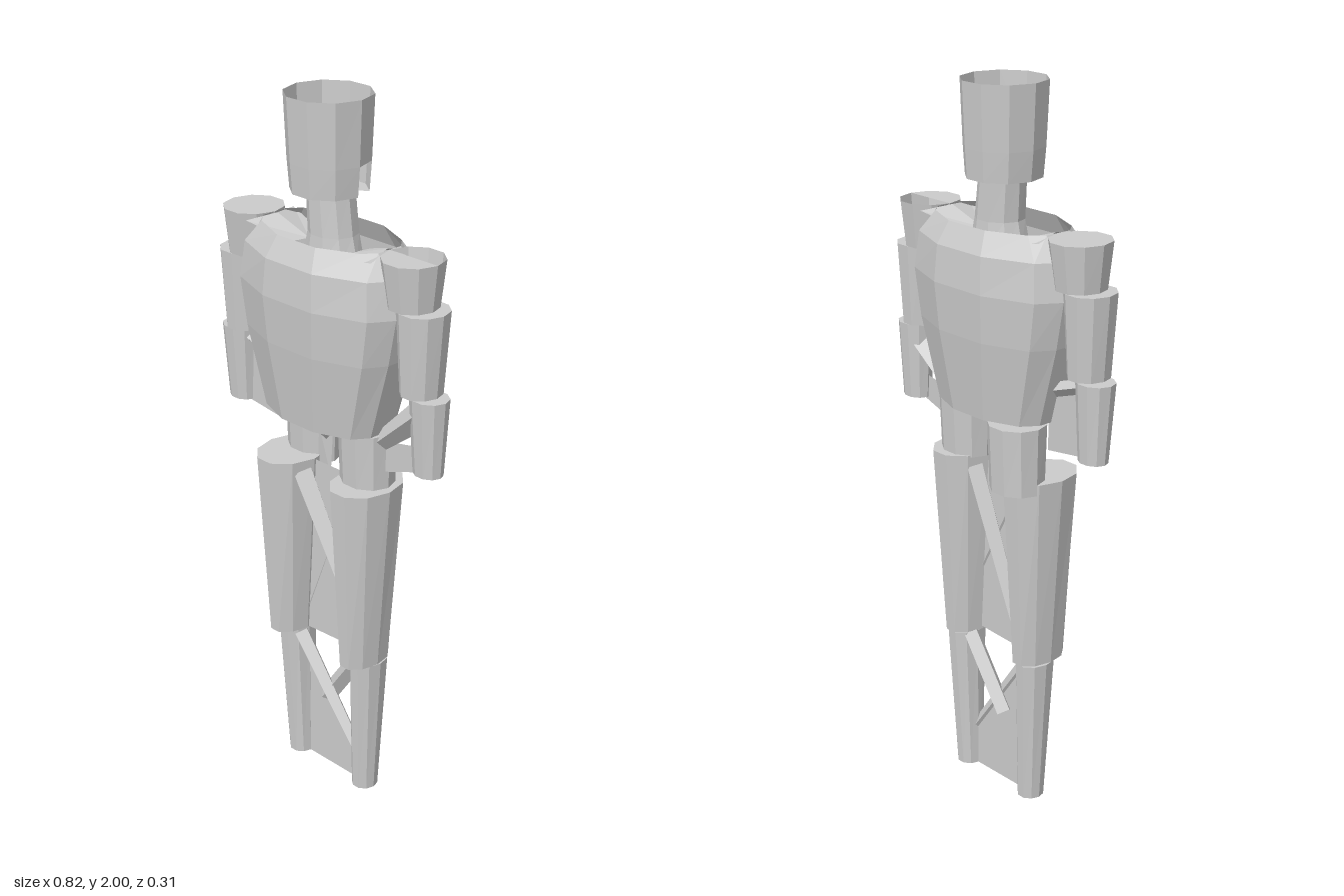
import * as THREE from 'three';

const material = new THREE.MeshStandardMaterial({ color: 0xcccccc, flatShading: true, side: THREE.DoubleSide });

function addMesh(parent, name, positions) {
  const geometry = new THREE.BufferGeometry();
  geometry.setAttribute('position', new THREE.Float32BufferAttribute(positions, 3));
  geometry.computeVertexNormals();
  const mesh = new THREE.Mesh(geometry, material);
  mesh.name = name;
  parent.add(mesh);
}

// Elliptical ring of corners, listed so that walls face outward
function ring(x, y, z, rx, rz, n = 10) {
  return Array.from({ length: n }, (_, i) => {
    const a = ((i + 0.5) / n) * Math.PI * 2;
    return [x + rx * Math.sin(a), y, z + rz * Math.cos(a)];
  });
}

// Faceted wall through rings ordered from bottom to top, with optional flat caps
function loft(rings, { bottom = true, top = true, skip = () => false } = {}) {
  const out = [];
  const n = rings[0].length;
  const tri = (...corners) => corners.forEach((c) => out.push(...c));
  for (let r = 0; r < rings.length - 1; r++) {
    for (let i = 0; i < n; i++) {
      if (skip(r, i)) continue;
      const j = (i + 1) % n;
      const [a, b, c, d] = [rings[r][i], rings[r][j], rings[r + 1][j], rings[r + 1][i]];
      tri(a, b, c);
      tri(a, c, d);
    }
  }
  for (const [on, loop, flip] of [[bottom, rings[0], true], [top, rings.at(-1), false]]) {
    if (!on) continue;
    for (let i = 1; i < n - 1; i++) {
      if (flip) tri(loop[0], loop[i + 1], loop[i]);
      else tri(loop[0], loop[i], loop[i + 1]);
    }
  }
  return out;
}

// Web drawn as a fan of corners
function web(parent, name, corners) {
  const out = [];
  for (let i = 1; i < corners.length - 1; i++) out.push(...corners[0], ...corners[i], ...corners[i + 1]);
  addMesh(parent, name, out);
}

// Slim tapered strut between two points
function strut(parent, name, from, to, rFrom = 0.022, rTo = rFrom) {
  const a = new THREE.Vector3(...from);
  const b = new THREE.Vector3(...to);
  const mesh = new THREE.Mesh(new THREE.CylinderGeometry(rTo, rFrom, a.distanceTo(b), 4), material);
  mesh.name = name;
  mesh.position.copy(a).lerp(b, 0.5);
  mesh.quaternion.setFromUnitVectors(new THREE.Vector3(0, 1, 0), b.sub(a).normalize());
  parent.add(mesh);
}

export function createModel() {
  const model = new THREE.Group();
  model.name = 'figure';

  // Head: an open cup with a torn panel on its left, and a cone inside
  const head = new THREE.Group();
  head.name = 'head';
  model.add(head);
  addMesh(head, 'headWall', loft([
    ring(0, 1.75, 0.005, 0.06, 0.06),
    ring(0, 1.75, 0.005, 0.103, 0.103),
    ring(-0.001, 1.83, 0.005, 0.11, 0.108),
    ring(-0.002, 2, 0.005, 0.117, 0.116),
  ], { bottom: false, top: false, skip: (r, i) => r < 2 && i === 2 }));
  const cone = new THREE.Mesh(new THREE.ConeGeometry(0.06, 0.08, 10, 1, true), material);
  cone.name = 'innerCone';
  cone.position.set(0, 1.79, 0);
  head.add(cone);

  addMesh(model, 'neck', loft([
    ring(0.01, 1.58, 0, 0.085, 0.068),
    ring(0.01, 1.64, 0, 0.07, 0.063),
    ring(0, 1.75, 0, 0.066, 0.062),
  ], { bottom: false, top: false }));

  // Torso: barrel of twelve sides, open above and below
  const torsoLevels = [
    // y, front half width, front depth, corner x, corner z, side x
    [1.13, 0.06, 0.122, 0.16, 0.085, 0.19],
    [1.35, 0.083, 0.148, 0.215, 0.1, 0.25],
    [1.48, 0.09, 0.157, 0.235, 0.104, 0.275],
    [1.58, 0.085, 0.15, 0.225, 0.095, 0.26],
    [1.64, 0.07, 0.122, 0.18, 0.075, 0.21],
  ];
  addMesh(model, 'torso', loft(torsoLevels.map(([y, a, d, b, e, c]) => {
    const quarter = [[a, d], [b, e], [c, 0.04]];
    const left = [...quarter, ...quarter.map(([x, z]) => [x, -z]).reverse()];
    return [...left, ...left.map(([x, z]) => [-x, z]).reverse()].map(([x, z]) => [x, y, z]);
  }), { bottom: false, top: false }));

  for (const s of [1, -1]) {
    const side = s > 0 ? 'left' : 'right';

    // Arm: three stepped segments; the left shoulder is half open on top
    const arm = new THREE.Group();
    arm.name = side + 'Arm';
    model.add(arm);
    const shoulderRim = ring(s * 0.292, 1.64, 0, 0.082, 0.086);
    addMesh(arm, 'shoulder', loft([ring(s * 0.295, 1.515, 0, 0.066, 0.07), shoulderRim], { top: s < 0 }));
    if (s > 0) web(arm, 'shoulderTop', [...shoulderRim.slice(7), ...shoulderRim.slice(0, 3)]);
    addMesh(arm, 'upperArm', loft([
      ring(s * 0.328, 1.29, 0, 0.054, 0.06),
      ring(s * 0.33, 1.515, 0, 0.068, 0.072),
    ]));
    addMesh(arm, 'forearm', loft([
      ring(s * 0.353, 1.07, -0.005, 0.043, 0.036),
      ring(s * 0.355, 1.285, -0.002, 0.055, 0.05),
    ]));

    // Tapered panel from the shoulder to the neck
    web(arm, 'shoulderPanel', [
      [s * 0.08, 1.6, 0], [s * 0.09, 1.6, -0.055], [s * 0.23, 1.63, -0.085],
      [s * 0.2, 1.64, 0], [s * 0.23, 1.63, 0.085], [s * 0.09, 1.6, 0.055],
    ]);

    // Leg: hip, thigh and shin, each narrowing downward
    const leg = new THREE.Group();
    leg.name = side + 'Leg';
    model.add(leg);
    const hipZ = s > 0 ? -0.01 : -0.065;
    const hipBase = s > 0 ? 0.97 : 0.945;
    addMesh(leg, 'hip', loft([
      ring(s * 0.13, hipBase, hipZ, 0.078, 0.07),
      ring(s * 0.13, 1.13, hipZ, 0.082, 0.078),
    ]));
    addMesh(leg, 'thigh', loft([
      ring(s * 0.14, 0.43, 0.006, 0.052, 0.083),
      ring(s * 0.143, 0.975, 0.006, 0.087, 0.114),
    ]));
    addMesh(leg, 'shin', loft([
      ring(s * 0.13, 0, -0.01, 0.036, 0.038),
      ring(s * 0.143, 0.425, -0.008, 0.047, 0.06),
    ]));
  }

  // Webs and struts from the forearms to the waist
  const armBridges = new THREE.Group();
  armBridges.name = 'armBridges';
  model.add(armBridges);
  web(armBridges, 'rightArmWeb', [[-0.34, 1.28, 0], [-0.18, 1.24, 0], [-0.18, 1.05, 0], [-0.34, 1.07, 0]]);
  strut(armBridges, 'rightArmStrut', [-0.34, 1.27, 0], [-0.19, 1.22, 0], 0.02);
  strut(armBridges, 'leftArmStrut', [0.34, 1.24, 0], [0.18, 1.1, 0], 0.04, 0.025);
  web(armBridges, 'leftArmWeb', [[0.34, 1.14, 0], [0.19, 1.11, 0], [0.19, 1.02, 0], [0.34, 1.07, 0]]);

  // Webs and struts bridging the legs
  const bridge = new THREE.Group();
  bridge.name = 'legBridges';
  model.add(bridge);
  web(bridge, 'hipWeb', [[-0.1, 1.13, -0.03], [0, 1.1, -0.01], [0, 0.94, 0], [-0.1, 0.94, -0.03]]);
  web(bridge, 'leftHipWeb', [[0.1, 1.13, -0.01], [0.02, 1.12, -0.01], [0.04, 0.96, 0], [0.1, 0.96, 0]]);
  web(bridge, 'thighWeb', [[-0.1, 0.97, 0], [0.01, 0.96, 0], [0.1, 0.97, 0], [0.1, 0.44, 0], [-0.1, 0.43, 0]]);
  web(bridge, 'shinWeb', [[-0.11, 0.42, -0.01], [-0.11, 0, -0.01], [0.11, 0, -0.01], [0.11, 0.1, -0.01]]);
  strut(bridge, 'hipStrut', [-0.07, 1.12, 0.02], [0.01, 1.08, 0.01], 0.028);
  strut(bridge, 'thighStrut', [-0.08, 0.94, 0.03], [0.09, 0.62, 0.02], 0.035, 0.025);
  strut(bridge, 'backThighStrut', [0.08, 0.94, -0.03], [-0.09, 0.5, -0.02], 0.03, 0.022);
  strut(bridge, 'shinStrut', [-0.11, 0.41, 0.01], [0.11, 0.11, 0], 0.026, 0.018);
  strut(bridge, 'backShinStrut', [0.11, 0.42, -0.02], [-0.03, 0.22, -0.02], 0.026);

  return model;
}
